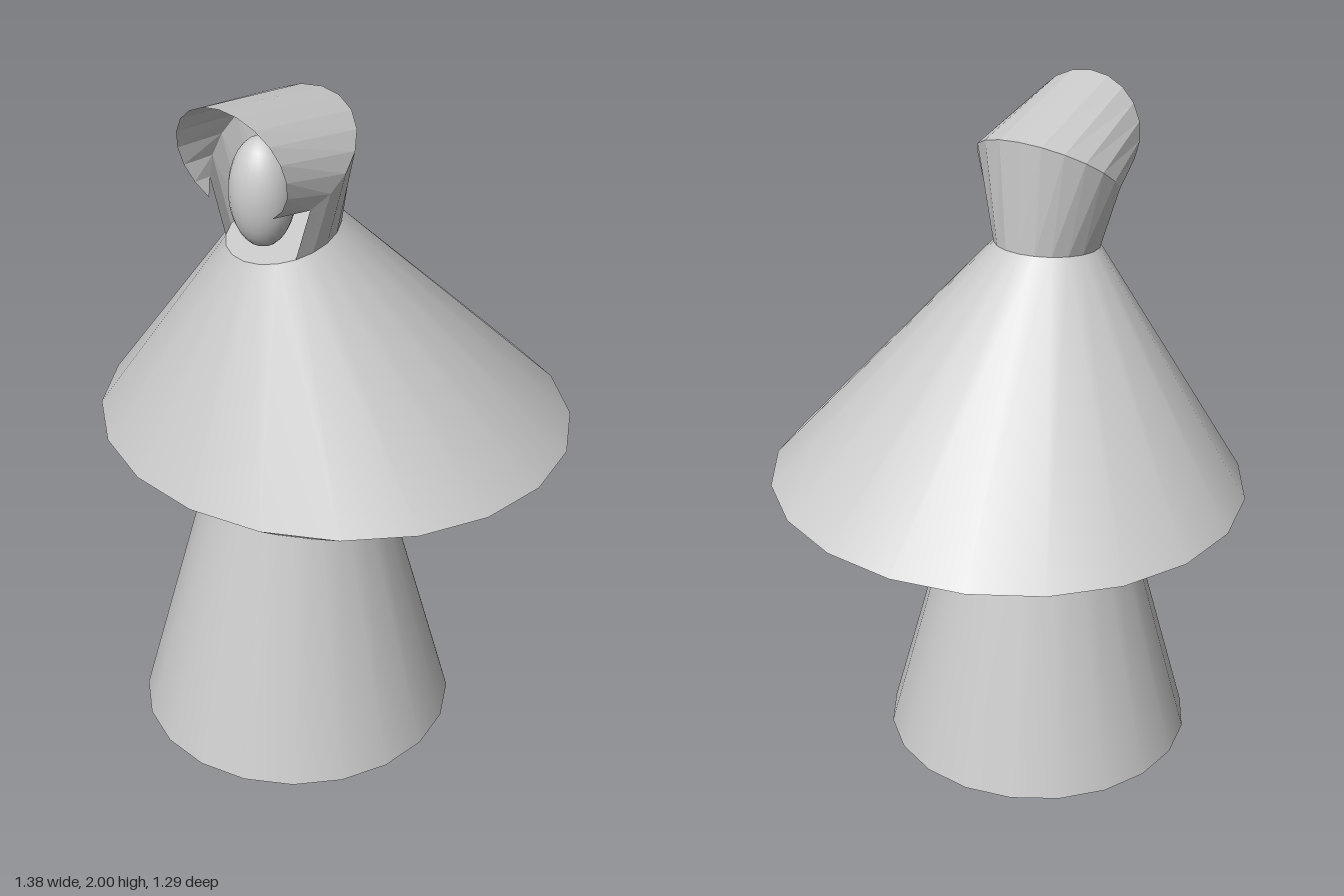
import * as THREE from 'three';

const SIDES = 20;
const STEP = (Math.PI * 2) / SIDES;
const CX = -0.02; // body, neck and hood sit slightly off centre

// Tilted ellipse: drop lowers the front (+z) and raises the back
const ellipse = (x, y, z, rx, rz, drop = 0) => (a) => [
  x + rx * Math.sin(a), y - drop * Math.cos(a), z + rz * Math.cos(a),
];

// Skin between two rings, listed bottom first; from/to are side numbers counted from the front
function loft(lower, upper, from = 0, to = SIDES) {
  const closed = to - from === SIDES;
  const cols = closed ? SIDES : to - from + 1;
  const pos = [], idx = [];
  for (let i = 0; i < cols; i++) {
    const a = (from + i) * STEP;
    pos.push(...lower(a), ...upper(a));
  }
  for (let i = 0; i < to - from; i++) {
    const p = i * 2, q = ((i + 1) % cols) * 2;
    idx.push(p, q, q + 1, p, q + 1, p + 1);
  }
  const geo = new THREE.BufferGeometry();
  geo.setAttribute('position', new THREE.Float32BufferAttribute(pos, 3));
  geo.setIndex(idx);
  geo.computeVertexNormals();
  return geo;
}

export function createModel() {
  const model = new THREE.Group();
  const smooth = new THREE.MeshStandardMaterial({ color: 0xcccccc, side: THREE.DoubleSide });
  const faceted = smooth.clone();
  faceted.flatShading = true;
  const add = (name, geo, material = smooth) => {
    const mesh = new THREE.Mesh(geo, material);
    mesh.name = name;
    model.add(mesh);
    return mesh;
  };

  // Tapered lower body
  add('lowerBody', new THREE.CylinderGeometry(0.231, 0.455, 0.85, SIDES)).position.set(CX, 0.425, 0.165);

  // Wide cloak: slopes up to the tilted neck, underside narrows into the body
  const rim = ellipse(0, 0.92, 0, 0.69, 0.645);
  const neck = ellipse(CX, 1.572, 0.2, 0.145, 0.17, 0.0275);
  const inner = ellipse(CX, 0.592, 0.167, 0.07, 0.065);
  add('cloak', loft(rim, neck));
  add('cloakUnderside', loft(inner, rim));
  add('neckCap', loft(neck, () => [CX, 1.572, 0.2]));

  // Hood: back tube rises to a slanted seam, then bends forward to the face opening
  const seam = ellipse(CX, 1.79, 0.2, 0.205, 0.17, 0.13);
  const opening = ellipse(CX, 1.835, 0.41, 0.177, -0.04, 0.165);
  const seamClamped = (a) => seam(THREE.MathUtils.clamp(a, 3 * STEP, (SIDES - 3) * STEP));
  // The opening leans forward at its top
  add('hoodBack', loft(neck, seam, 3, SIDES - 3), faceted);
  add('hoodFront', loft(seamClamped, opening, 2, SIDES - 2), faceted);

  // Egg-shaped head
  const head = add('head', new THREE.SphereGeometry(1, 24, 16));
  head.scale.set(0.09, 0.155, 0.088);
  head.position.set(CX, 1.715, 0.287);

  return model;
}
